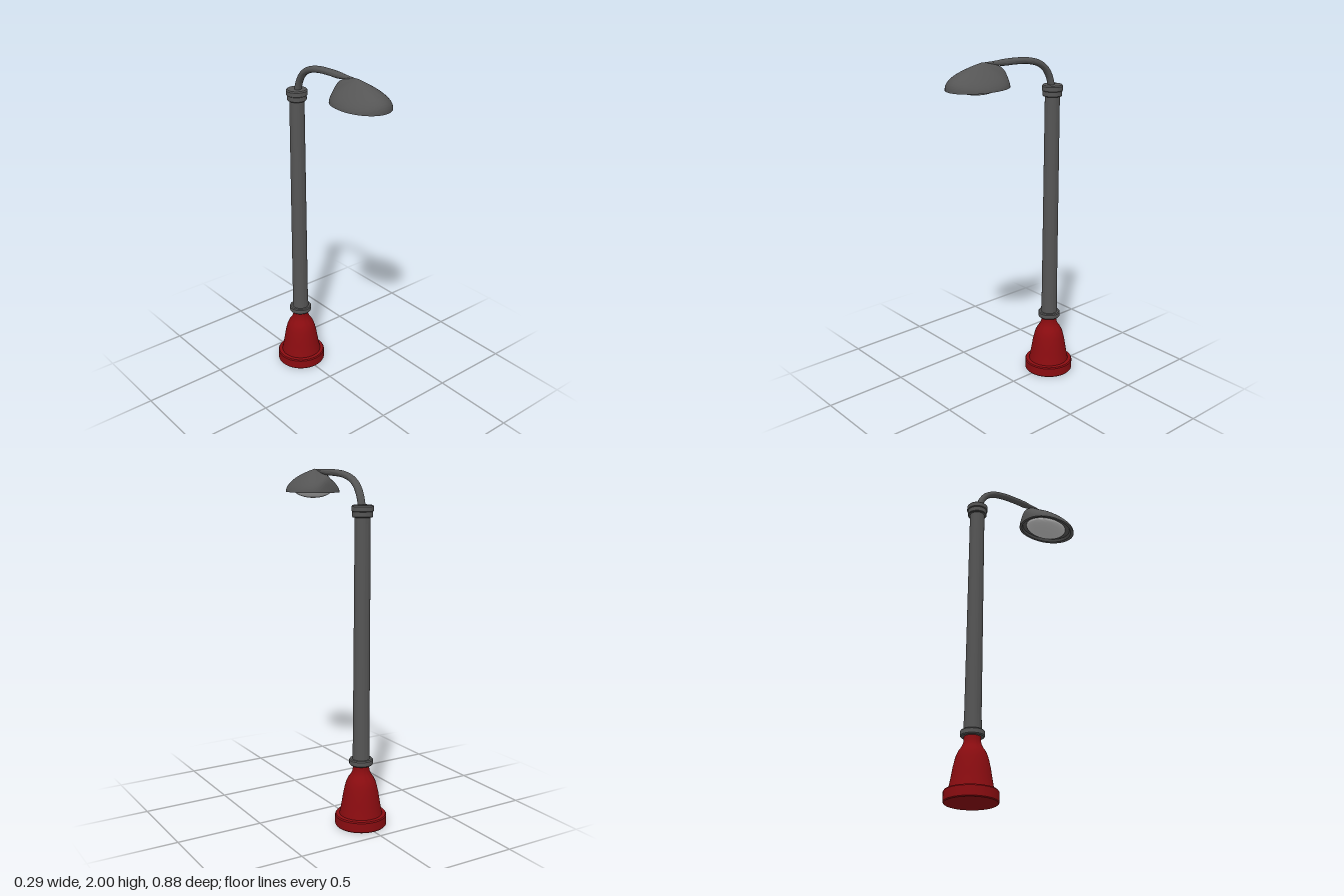
import * as THREE from 'three';
import { toCreasedNormals } from 'three/addons/utils/BufferGeometryUtils.js';

const POLE_Z = -0.295;
const iron = new THREE.MeshStandardMaterial({ color: 0x555555 });
const red = new THREE.MeshStandardMaterial({ color: 0x8a0c10 });
const glass = new THREE.MeshStandardMaterial({ color: 0xcccccc });

function addMesh(group, name, geometry, material, crease = 0.6) {
  const mesh = new THREE.Mesh(toCreasedNormals(geometry, crease), material);
  mesh.name = name;
  group.add(mesh);
  return mesh;
}

// Turned part standing on the pole axis; profile is [radius, height] pairs
function turned(group, name, profile, material) {
  const points = profile.map(([r, y]) => new THREE.Vector2(r, y));
  addMesh(group, name, new THREE.LatheGeometry(points, 48), material).position.z = POLE_Z;
}

// Closed rings of points joined into a skin
function loft(rings) {
  const n = rings[0].length, index = [];
  for (let i = 0; i < rings.length - 1; i++) {
    for (let j = 0; j < n; j++) {
      const a = i * n + j, b = i * n + (j + 1) % n;
      index.push(a, a + n, b, b, a + n, b + n);
    }
  }
  const geometry = new THREE.BufferGeometry().setFromPoints(rings.flat());
  geometry.setIndex(index);
  return geometry;
}

function ring(count, fn) {
  return Array.from({ length: count }, (_, j) => fn((j / count) * Math.PI * 2));
}

// Lamp head: egg outline, peaked at the sides, rounded at the front, steep at the back
function headGeometry() {
  const rimY = 1.865, height = 0.133, apexZ = 0.22;
  const bulge = (v, p) => Math.sign(v) * Math.abs(v) ** p;
  const point = (a, s, y) => {
    const c = Math.cos(a), k = Math.sin(a), p = k < 0 ? 0.88 : 1;
    const rimZ = 0.25 + bulge(k, p) * (k > 0 ? 0.193 : 0.18);
    return new THREE.Vector3(0.142 * bulge(c, p) * s, y, apexZ + (rimZ - apexZ) * s);
  };
  const rings = [];
  // recessed underside and lip
  for (const [s, y] of [[0.001, 1.88], [0.86, 1.88], [0.9, rimY], [1, rimY]]) {
    rings.push(ring(72, a => point(a, s, y)));
  }
  // domed shell
  const steps = 28;
  for (let i = 1; i <= steps; i++) {
    const s = 1 - (i / steps) ** 2 * 0.999;
    rings.push(ring(72, a => {
      const k = Math.sin(a);
      const power = k > 0 ? 0.62 - 0.26 * k * k : 0.62 - 0.17 * k * k - 0.27 * k ** 16;
      return point(a, s, rimY + height * (1 - s) ** power);
    }));
  }
  return loft(rings);
}

// Curved arm, flattening and tapering to a point on the head
function armGeometry() {
  const path = new THREE.CatmullRomCurve3([
    [-0.288, 1.79], [-0.28, 1.83], [-0.265, 1.872], [-0.232, 1.918], [-0.18, 1.951],
    [-0.1, 1.972], [0, 1.98], [0.07, 1.981], [0.15, 1.985], [0.23, 1.993],
  ].map(([z, y]) => new THREE.Vector3(0, y, z)));
  const rings = [], steps = 48;
  for (let i = 0; i <= steps; i++) {
    const c = path.getPointAt(i / steps), t = path.getTangentAt(i / steps);
    const taper = THREE.MathUtils.clamp((0.232 - c.z) / 0.17, 0.01, 1);
    const rx = 0.022 * taper, rn = 0.0185 * Math.sqrt(taper) * (c.z > 0.1 ? 0.75 + 0.25 * taper : 1);
    rings.push(ring(20, a => new THREE.Vector3(
      rx * Math.cos(a),
      c.y - t.z * rn * Math.sin(a),
      c.z + t.y * rn * Math.sin(a))));
  }
  return loft(rings);
}

export function createModel() {
  const group = new THREE.Group();
  group.name = 'streetLamp';

  // Red bell-shaped foot
  turned(group, 'base', [
    [0, 0], [0.143, 0], [0.147, 0.005], [0.147, 0.058], [0.142, 0.065], [0.122, 0.067],
    [0.116, 0.095], [0.108, 0.14], [0.1, 0.19], [0.091, 0.23], [0.084, 0.255],
    [0.072, 0.28], [0.058, 0.3], [0.049, 0.32], [0.046, 0.34], [0.046, 0.37], [0, 0.37],
  ], red);

  // Collar between foot and pole
  turned(group, 'collar', [
    [0, 0.358], [0.062, 0.358], [0.067, 0.364], [0.067, 0.388], [0.062, 0.394], [0, 0.394],
  ], iron);

  turned(group, 'pole', [[0, 0.38], [0.05, 0.38], [0.047, 0.5], [0.043, 1.77], [0, 1.77]], iron);

  // Stepped cap on top of the pole
  turned(group, 'cap', [
    [0, 1.75], [0.053, 1.75], [0.056, 1.754], [0.056, 1.78], [0.061, 1.784],
    [0.061, 1.808], [0.055, 1.815], [0.03, 1.818], [0, 1.818],
  ], iron);

  addMesh(group, 'arm', armGeometry(), iron, 0.8);
  addMesh(group, 'lampHead', headGeometry(), iron, 0.7);

  // Lens bulging below the head
  const lens = new THREE.SphereGeometry(1, 40, 12, 0, Math.PI * 2, Math.PI / 2, Math.PI / 2);
  lens.scale(0.102, 0.05, 0.137);
  addMesh(group, 'lens', lens, glass).position.set(0, 1.881, 0.245);

  return group;
}
